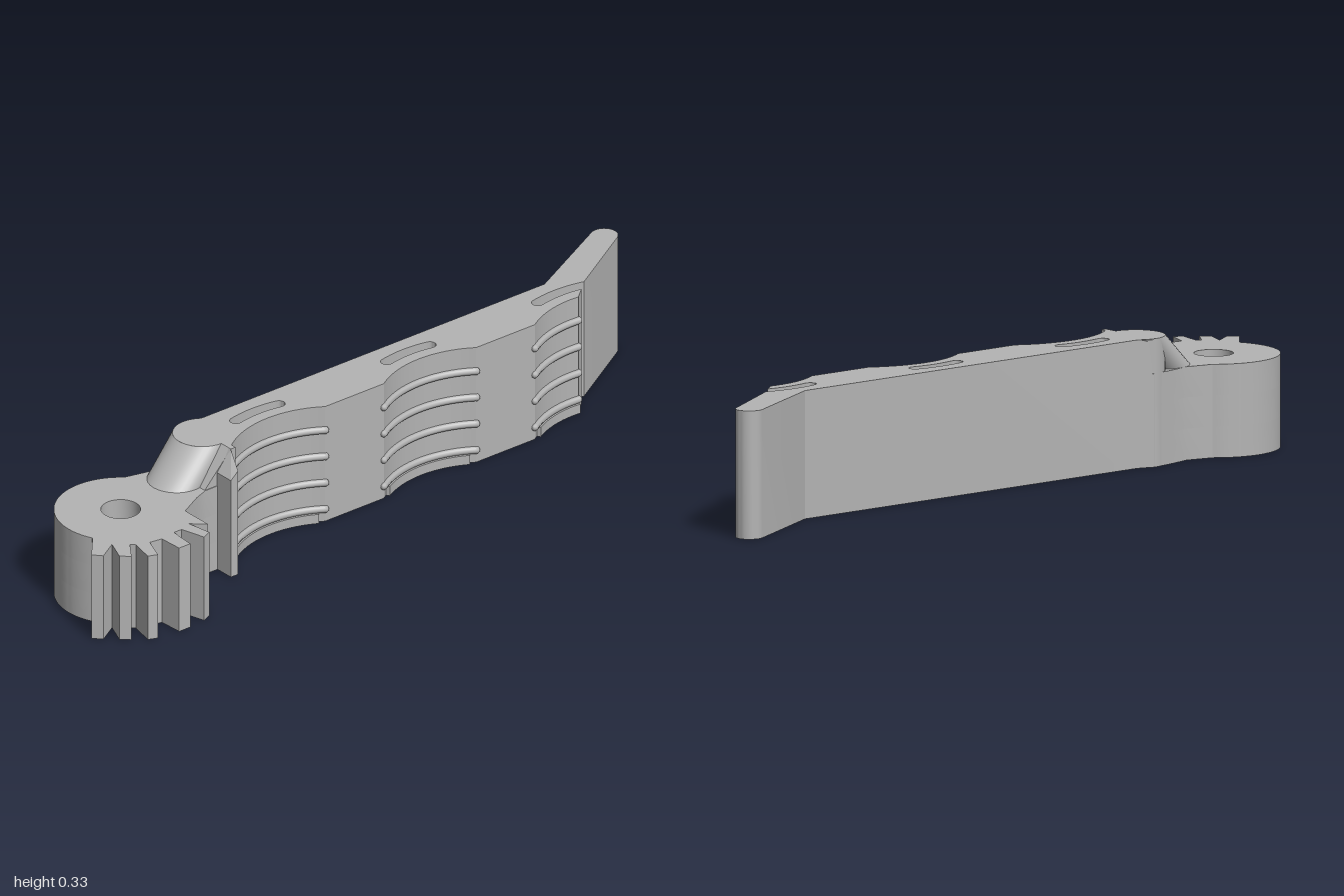
import * as THREE from 'three';
import { toCreasedNormals } from 'three/addons/utils/BufferGeometryUtils.js';
import { ConvexGeometry } from 'three/addons/geometries/ConvexGeometry.js';

const PI = Math.PI;
const TOP = 0.327, HUB_TOP = 0.238;
const CX = 0.262, R = 0.272; // finger recess axis and radius
const SLOT_R = 0.32, SLOT_W = 0.016;

// Points [x, z] along an arc
function arc(cx, cz, r, t0, t1, n = 16) {
  return Array.from({ length: n + 1 }, (_, i) => {
    const t = t0 + (t1 - t0) * i / n;
    return [cx + r * Math.cos(t), cz + r * Math.sin(t)];
  });
}

// Arc of a recess wall, with angle 0 at its deepest point
const wall = (cz, r, a, b, n = 20) => arc(CX, cz, r, PI - a, PI - b, n);

// Upright plate from an [x, z] outline
function plate(points, y0, y1, holes = []) {
  const toVec = ([x, z]) => new THREE.Vector2(x, -z);
  const shape = new THREE.Shape(points.map(toVec));
  holes.forEach(h => shape.holes.push(new THREE.Path(h.map(toVec))));
  const g = new THREE.ExtrudeGeometry(shape, { depth: y1 - y0, bevelEnabled: false });
  g.rotateX(-PI / 2).translate(0, y0, 0);
  return toCreasedNormals(g, 0.45);
}

// Curved slot concentric with a recess
function slot(cz) {
  const a = 0.22;
  const mid = f => [CX - SLOT_R * Math.cos(f), cz + SLOT_R * Math.sin(f)];
  return [
    ...wall(cz, SLOT_R + SLOT_W, -a, a, 10),
    ...arc(...mid(a), SLOT_W, PI - a, -a, 8).slice(1),
    ...wall(cz, SLOT_R - SLOT_W, a, -a, 10).slice(1),
    ...arc(...mid(-a), SLOT_W, a, a - PI, 8).slice(1, -1),
  ];
}

const hull = pts => new ConvexGeometry(pts.map(p => new THREE.Vector3(...p)));

export function createModel() {
  const model = new THREE.Group();
  model.name = 'gearedLever';
  const grey = new THREE.MeshStandardMaterial({ color: 0xb4b4b4 });
  grey.name = 'grey';
  const add = (name, geometry, parent = model) => {
    const m = new THREE.Mesh(geometry, grey);
    m.name = name;
    parent.add(m);
    return m;
  };

  // Recesses: centre z, start and end angle
  const recesses = [
    { z: -0.68, a: -0.1, b: 0.584 },
    { z: -0.19, a: -0.584, b: 0.584 },
    { z: 0.3, a: -0.584, b: 0.697 },
  ];

  // Arm with angled tab, open end slot, recesses and rounded end
  const endSlot = -0.68;
  const capAt = [CX - SLOT_R * Math.cos(0.22), endSlot + SLOT_R * Math.sin(0.22)];
  const armOutline = [
    [-0.115, -0.685],
    ...arc(-0.22, -0.965, 0.035, PI - 0.45, 2 * PI - 0.48, 14),
    ...wall(endSlot, SLOT_R + SLOT_W, -0.27, 0.22, 10),
    ...arc(...capAt, SLOT_W, PI - 0.22, -0.22, 8).slice(1),
    ...wall(endSlot, SLOT_R - SLOT_W, 0.22, -0.2, 10).slice(1),
    ...recesses.flatMap(r => wall(r.z, R, r.a, r.b)),
    [0.03, 0.475],
    ...arc(-0.055, 0.475, 0.075, 0, PI, 20),
    [-0.115, 0.425],
  ];
  add('arm', plate(armOutline, 0, TOP, [slot(-0.19), slot(0.3)]));

  // Grip ribs and bottom lip in each recess
  for (const { z, a, b } of recesses) {
    const grip = new THREE.Group();
    grip.name = 'fingerGrip';
    model.add(grip);
    const end = b > 0.6 ? 0.75 : b;
    for (const y of [0.035, 0.11, 0.185, 0.26]) {
      const rib = new THREE.TorusGeometry(R, 0.01, 8, 28, end - a);
      rib.rotateZ(PI + a).rotateX(-PI / 2).translate(CX, y, z);
      add('gripRib', rib, grip);
      for (const f of [a, end]) {
        const cap = new THREE.SphereGeometry(0.01, 8, 6);
        cap.translate(CX - R * Math.cos(f), y, z + R * Math.sin(f));
        add('ribEnd', cap, grip);
      }
    }
    const a0 = Math.max(a, -0.52), b0 = b > 0.6 ? 0.7 : 0.52;
    const lip = [...wall(z, 0.262, a0, b0), ...wall(z, 0.276, b0, a0)];
    add('gripLip', plate(lip, 0, 0.026), grip);
  }

  // Hub with neck and teeth, stepped bore
  const teeth = [
    [0.075, 0.938], [0.14, 0.995], [0.163, 0.975], [0.13, 0.92], [0.19, 0.945], [0.21, 0.922],
    [0.158, 0.885], [0.17, 0.875], [0.235, 0.89], [0.245, 0.865], [0.182, 0.84], [0.187, 0.805],
    [0.252, 0.802], [0.252, 0.766], [0.18, 0.76], [0.18, 0.735], [0.247, 0.717], [0.235, 0.69],
    [0.168, 0.702], [0.2, 0.666], [0.11, 0.666],
  ];
  const hubOutline = [
    [0, 0.4], [-0.11, 0.43], [-0.13, 0.47], [-0.122, 0.53], [-0.107, 0.6],
    ...arc(0, 0.785, 0.168, PI * 1.235, PI * 0.36, 40),
    ...teeth, [0.075, 0.6], [0.06, 0.56], [0.06, 0.5],
  ];
  const hub = new THREE.Group();
  hub.name = 'gearHub';
  model.add(hub);
  for (const [y0, y1, r] of [[0, 0.08, 0.045], [0.08, 0.16, 0.027], [0.16, HUB_TOP, 0.05]]) {
    add('hubLayer', plate(hubOutline, y0, y1, [arc(0, 0.785, r, 0, 2 * PI, 28).slice(0, -1)]), hub);
  }

  // Slanted round boss from the arm end down to the hub
  const bossHeight = TOP - HUB_TOP;
  const boss = new THREE.CylinderGeometry(0.075, 0.075, bossHeight, 32);
  const p = boss.attributes.position;
  for (let i = 0; i < p.count; i++) {
    const k = 0.5 - p.getY(i) / bossHeight;
    p.setXYZ(i, p.getX(i) - 0.055 + 0.02 * k, p.getY(i) + (TOP + HUB_TOP) / 2, p.getZ(i) + 0.475 + 0.1 * k);
  }
  boss.computeVertexNormals();
  add('slantedBoss', toCreasedNormals(boss, 0.6));

  // Sloped shoulder beside the boss
  add('shoulder', hull([-0.03, 0.058].flatMap(x => [
    [x, HUB_TOP, 0.46], [x, TOP, 0.46], [x, TOP, 0.475], [x, HUB_TOP, 0.56],
  ])));

  // Pointed stop at the end of the last recess
  add('stop', hull([
    [0.05, 0, 0.475], [0.113, 0, 0.497], [0.113, 0, 0.52], [0.05, 0, 0.52],
    [0.05, TOP, 0.475], [0.062, TOP, 0.478], [0.113, 0.295, 0.497], [0.113, 0.275, 0.52], [0.05, 0.275, 0.52],
  ]));

  return model;
}
